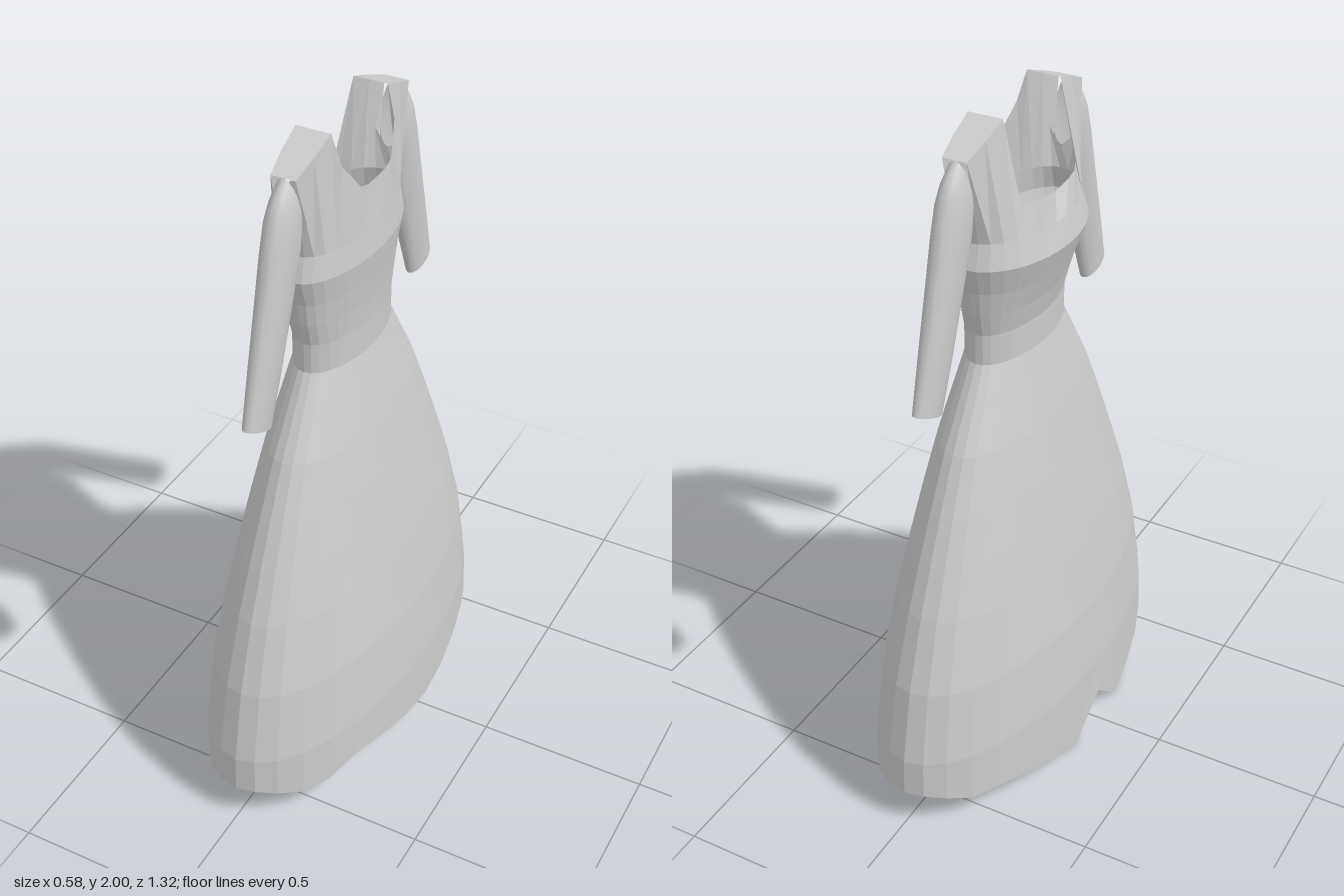
import * as THREE from 'three';

const N = 32;

// Surface lofted through closed rings of equal point count
function loft(name, rings, flat) {
  const n = rings[0].length;
  const pos = rings.flat(2);
  const idx = [];
  for (let r = 0; r < rings.length - 1; r++) {
    for (let i = 0; i < n; i++) {
      const a = r * n + i, b = r * n + (i + 1) % n;
      idx.push(a, a + n, b, b, a + n, b + n);
    }
  }
  const geo = new THREE.BufferGeometry();
  geo.setAttribute('position', new THREE.Float32BufferAttribute(pos, 3));
  geo.setIndex(idx);
  geo.computeVertexNormals();
  const mat = new THREE.MeshStandardMaterial({ color: 0xcccccc, flatShading: flat, side: THREE.DoubleSide });
  const mesh = new THREE.Mesh(geo, mat);
  mesh.name = name;
  return mesh;
}

// Oval ring with separate depths towards -x (bust side) and +x (back side)
function oval(y, bust, back, halfWidth) {
  return Array.from({ length: N }, (_, i) => {
    const a = (i / N) * Math.PI * 2, c = Math.cos(a);
    return [c * (c < 0 ? bust : back), y, Math.sin(a) * halfWidth];
  });
}

// Step around a ring: m runs 0 (back centre) to 16 (bust centre) on both sides
const fold = (i) => (i > N / 2 ? { m: N - i, s: -1 } : { m: i, s: 1 });

export function createModel() {
  const group = new THREE.Group();
  group.name = 'dress';

  // Skirt with a wavy hem, notched in the middle of the bust side
  const skirt = [
    [1.31, 0.10, 0.22], [1.2, 0.125, 0.285], [1.09, 0.15, 0.35], [0.93, 0.182, 0.425],
    [0.8, 0.206, 0.482], [0.66, 0.232, 0.54], [0.45, 0.265, 0.61], [0.23, 0.285, 0.655],
  ].map(([y, d, w]) => oval(y, d, d, w));
  const hemY = [0.05, 0.065, 0.09, 0.105, 0.075, 0.075, 0.1, 0.115, 0.115,
    0.115, 0.1, 0.075, 0.075, 0.055, 0.03, 0.0, 0.11];
  skirt.push(oval(0, 0.29, 0.29, 0.66).map(([x, , z], i) => [x, hemY[fold(i).m], z]));
  group.add(loft('skirt', skirt.reverse(), true));

  // Bodice from waist to bust
  const bodice = [
    [1.31, 0.10, 0.10, 0.22], [1.4, 0.10, 0.10, 0.22], [1.47, 0.118, 0.103, 0.238],
    [1.54, 0.142, 0.11, 0.25], [1.62, 0.17, 0.12, 0.275], [1.69, 0.152, 0.113, 0.255],
  ].map((r) => oval(...r));

  // Upper edge: neckline, shoulder and armhole, from back centre to bust centre
  const edge = [
    [0.10, 1.82, 0], [0.10, 1.82, 0.045], [0.097, 1.83, 0.085], [0.075, 1.91, 0.145],
    [0.05, 2.0, 0.155], [0.045, 1.97, 0.235], [0.035, 1.94, 0.31], [0.042, 1.8, 0.268],
    [0, 1.75, 0.26], [-0.042, 1.8, 0.268], [-0.035, 1.94, 0.31], [-0.045, 1.97, 0.235],
    [-0.05, 2.0, 0.155], [-0.1, 1.77, 0.15], [-0.125, 1.775, 0.095], [-0.13, 1.77, 0.05],
    [-0.12, 1.755, 0],
  ];
  bodice.push(Array.from({ length: N }, (_, i) => {
    const { m, s } = fold(i);
    const [x, y, z] = edge[m];
    return [x, y, s * z];
  }));
  group.add(loft('bodice', bodice, true));

  // Shoulder tops and sleeves, mirrored
  // Sleeve sections: outer z, y, inner z, y, half thickness in x
  const sections = [
    [0.31, 1.94, 0.262, 1.755, 0.036], [0.345, 1.905, 0.262, 1.735, 0.041],
    [0.375, 1.86, 0.265, 1.71, 0.043], [0.405, 1.77, 0.275, 1.67, 0.042],
    [0.436, 1.655, 0.31, 1.565, 0.039], [0.483, 1.485, 0.36, 1.42, 0.035],
    [0.53, 1.315, 0.415, 1.27, 0.029],
  ];
  for (const s of [1, -1]) {
    const side = s > 0 ? 'Front' : 'Rear';
    const strap = [4, 5, 6].map((k) => [[edge[k][0], edge[k][1], s * edge[k][2]],
      [-edge[k][0], edge[k][1], s * edge[k][2]]]);
    group.add(loft('shoulder' + side, strap, true));

    const rings = sections.map(([zo, yo, zi, yi, t]) => Array.from({ length: 16 }, (_, i) => {
      const a = (s * i / 16) * Math.PI * 2, c = (1 + Math.cos(a)) / 2;
      return [Math.sin(a) * t, yi + (yo - yi) * c, s * (zi + (zo - zi) * c)];
    }));
    group.add(loft('sleeve' + side, rings, false));
  }
  return group;
}
